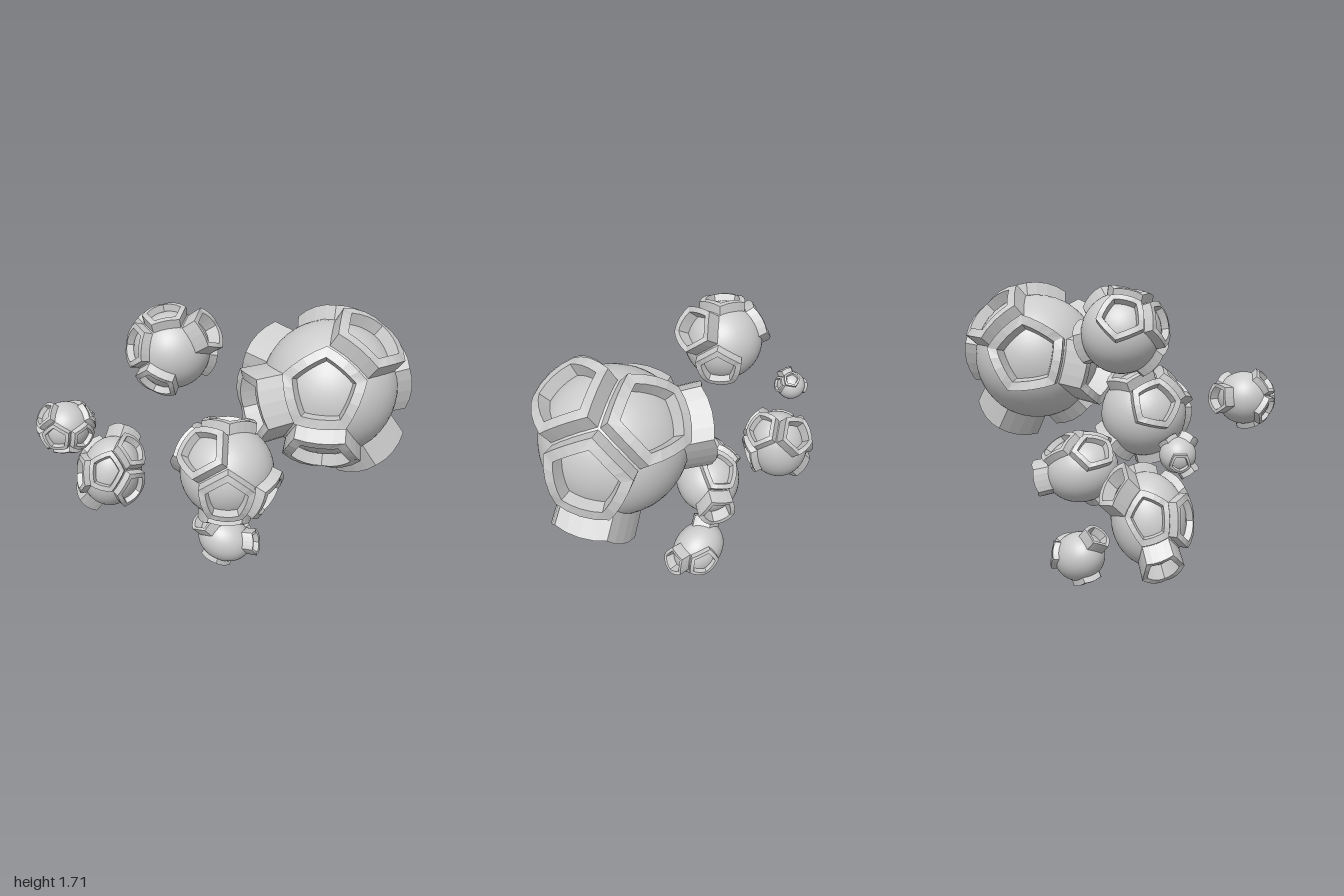
import * as THREE from 'three';

const SPIN = (2 * Math.PI) / 5;
const EDGE_STEPS = 4;
const LOW = 0.24; // rim heights, as shares of the radius
const TALL = 0.42;

const smooth = new THREE.MeshStandardMaterial({ color: 0xcccccc });
const faceted = new THREE.MeshStandardMaterial({ color: 0xcccccc, flatShading: true, side: THREE.DoubleSide });

const unit = (x, y, z) => new THREE.Vector3(x, y, z).normalize();

// Twelve pentagon centres: 0 faces f, 1-5 surround it counterclockwise from g,
// 6-11 are their opposites
function pentagonDirections(f, g) {
  const side = g.clone().addScaledVector(f, -g.dot(f)).normalize();
  const next = f.clone().multiplyScalar(Math.sqrt(0.2)).addScaledVector(side, Math.sqrt(0.8));
  const half = [f];
  for (let i = 0; i < 5; i++) half.push(next.clone().applyAxisAngle(f, i * SPIN));
  return half.concat(half.map((d) => d.clone().negate()));
}

// Raised pentagonal frame with an outer wall, a lip and a sloping inner wall
function rimGeometry(n, dirs, r, height) {
  const first = dirs.find((d) => d.dot(n) > 0.4 && d.dot(n) < 0.5);
  const ring = [0, 1, 2, 3, 4].map((i) => first.clone().applyAxisAngle(n, i * SPIN));
  const corners = ring.map((d, i) => d.clone().add(ring[(i + 1) % 5]).add(n).normalize());
  const loop = corners.flatMap((c, i) => Array.from({ length: EDGE_STEPS }, (_, s) =>
    c.clone().lerp(corners[(i + 1) % 5], s / EDGE_STEPS).normalize()));
  // One row of points: share of the pentagon, sphere radius, lift along the normal
  const row = (share, radius, lift) => loop.map((d) =>
    n.clone().lerp(d, share).normalize().multiplyScalar(radius * r).addScaledVector(n, lift * r));
  const rows = [row(1, 0.97, 0), row(1, 1, height), row(0.72, 1, height * 0.8), row(0.64, 0.97, 0)];
  const points = [];
  for (let j = 0; j < 3; j++) {
    for (let i = 0; i < loop.length; i++) {
      const k = (i + 1) % loop.length;
      const a = rows[j][i];
      const c = rows[j + 1][k];
      points.push(a, rows[j][k], c, a, c, rows[j + 1][i]);
    }
  }
  const geometry = new THREE.BufferGeometry().setFromPoints(points);
  geometry.computeVertexNormals();
  return geometry;
}

// Matrix that lengthens a pod along any axis
function stretchAlong(axis, factor) {
  const turn = new THREE.Matrix4().makeRotationFromQuaternion(
    new THREE.Quaternion().setFromUnitVectors(new THREE.Vector3(0, 1, 0), axis));
  const back = turn.clone().invert();
  return turn.multiply(new THREE.Matrix4().makeScale(1, factor, 1)).multiply(back);
}

// Rounded body with rims on the numbered pentagons
function pod(name, centre, r, dirs, low, tall, stretch = new THREE.Matrix4()) {
  const group = new THREE.Group();
  group.name = name;
  group.position.copy(centre);
  const add = (part, geometry, material) => {
    const mesh = new THREE.Mesh(geometry.applyMatrix4(stretch), material);
    mesh.name = part;
    group.add(mesh);
  };
  add('body', new THREE.IcosahedronGeometry(r, 7), smooth);
  for (const i of low) add('rim', rimGeometry(dirs[i], dirs, r, LOW), faceted);
  for (const i of tall) add('tallRim', rimGeometry(dirs[i], dirs, r, TALL), faceted);
  return group;
}

export function createModel() {
  const model = new THREE.Group();
  model.name = 'podCluster';
  const at = (x, y, z) => new THREE.Vector3(x, y, z);

  // Large pod and the pods touching it
  const largeDirs = pentagonDirections(unit(0, 0.34, 0.94), unit(0, -0.69, 0.73));
  model.add(pod('largePod', at(0.56, 1.28, -0.165), 0.37, largeDirs, [0, 1, 3, 7, 11], [5, 8, 10]));
  const frontDirs = pentagonDirections(unit(0.2, -0.1, 0.97), unit(0.03, -0.93, 0.36));
  model.add(pod('frontPod', at(0.09, 0.96, 0.31), 0.25, frontDirs, [0, 1, 2, 4, 7, 8, 10], []));
  const rearDirs = pentagonDirections(unit(-0.15, -0.75, 0.64), unit(0.73, -0.67, 0.07));
  model.add(pod('rearPod', at(-0.08, 0.71, -0.19), 0.18, rearDirs, [0, 6, 7, 11], [9],
    stretchAlong(unit(0.6, -0.3, -0.75), 1.15)));

  // Free pods
  const upperDirs = pentagonDirections(unit(-0.2, -0.6, 0.75), unit(-0.75, 0.3, 0.55));
  model.add(pod('upperPod', at(-0.3, 1.465, -0.065), 0.21, upperDirs, [0, 1, 7, 9, 10], [8]));
  const smallDirs = pentagonDirections(unit(0, -0.05, 1), unit(0.1, -0.9, 0.43));
  model.add(pod('smallPod', at(-0.77, 1.16, 0.37), 0.13, smallDirs, [0, 1, 2, 4, 5, 11], [6]));
  const tinyDirs = pentagonDirections(unit(0.1, -0.15, 0.98), unit(0.85, 0.25, 0.45));
  model.add(pod('tinyPod', at(-0.895, 0.94, -0.1), 0.085, tinyDirs, [1, 7, 10], [2, 4]));
  const sideDirs = pentagonDirections(unit(0.12, 0.38, 0.92), unit(-0.12, -0.6, 0.77));
  model.add(pod('sidePod', at(-0.74, 0.6, -0.16), 0.183, sideDirs, [0, 2, 3, 5, 8], [7, 9],
    stretchAlong(unit(0.25, 0.95, 0), 1.25)));
  const bottomDirs = pentagonDirections(unit(1, 0.1, 0.05), unit(0.4, 0.1, -0.9));
  model.add(pod('bottomPod', at(-0.03, 0.19, -0.18), 0.14, bottomDirs, [1, 8], [0, 11],
    stretchAlong(unit(0.85, -0.4, 0), 1.22)));
  return model;
}
